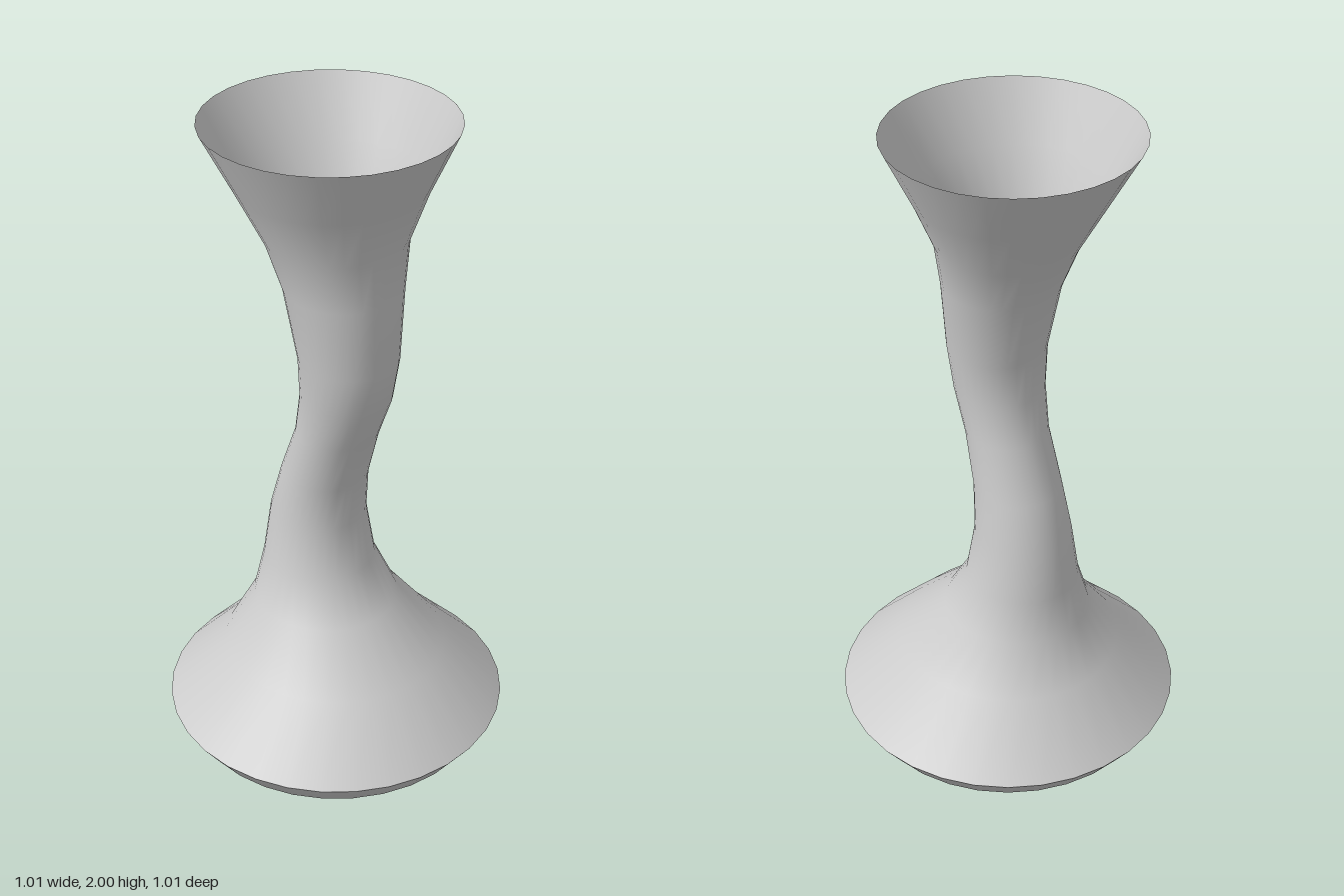
import * as THREE from 'three';

const SIDES = 32;

// Skin through level elliptical rings, each given as [y, left x, right x, half depth]
function loft(name, rings, material) {
  const positions = [], indices = [];
  const row = SIDES;
  rings.forEach(([y, x0, x1, rz], r) => {
    for (let i = 0; i < row; i++) {
      const a = (i / SIDES) * Math.PI * 2;
      positions.push((x0 + x1) / 2 + Math.cos(a) * (x1 - x0) / 2, y, Math.sin(a) * rz);
      if (r === 0) continue;
      const j = (i + 1) % row, lo = (r - 1) * row, hi = r * row;
      indices.push(lo + i, hi + i, lo + j, lo + j, hi + i, hi + j);
    }
  });
  const geometry = new THREE.BufferGeometry();
  geometry.setAttribute('position', new THREE.Float32BufferAttribute(positions, 3));
  geometry.setIndex(indices);
  geometry.computeVertexNormals();
  const mesh = new THREE.Mesh(geometry, material);
  mesh.name = name;
  return mesh;
}

export function createModel() {
  const group = new THREE.Group();
  group.name = 'vase';
  const material = new THREE.MeshStandardMaterial({ color: 0xcccccc, side: THREE.DoubleSide });
  const rim = [0.15, -0.507, 0.507, 0.507];

  // Rounded foot, open underneath, meeting the body at a sharp rim
  group.add(loft('foot', [
    [0, -0.34, 0.34, 0.34],
    [0.075, -0.453, 0.453, 0.453],
    rim,
  ], material));

  // Swaying neck that flares into an open mouth
  group.add(loft('body', [
    rim,
    [0.33, -0.34, 0.33, 0.33],
    [0.48, -0.265, 0.17, 0.215],
    [0.61, -0.243, 0.09, 0.165],
    [0.77, -0.222, 0.063, 0.14],
    [0.91, -0.178, 0.077, 0.127],
    [1.07, -0.113, 0.125, 0.12],
    [1.2, -0.087, 0.175, 0.13],
    [1.33, -0.087, 0.197, 0.142],
    [1.54, -0.135, 0.2, 0.167],
    [1.68, -0.195, 0.2, 0.2],
    [1.83, -0.28, 0.25, 0.268],
    [2, -0.375, 0.325, 0.352],
  ], material));

  return group;
}
